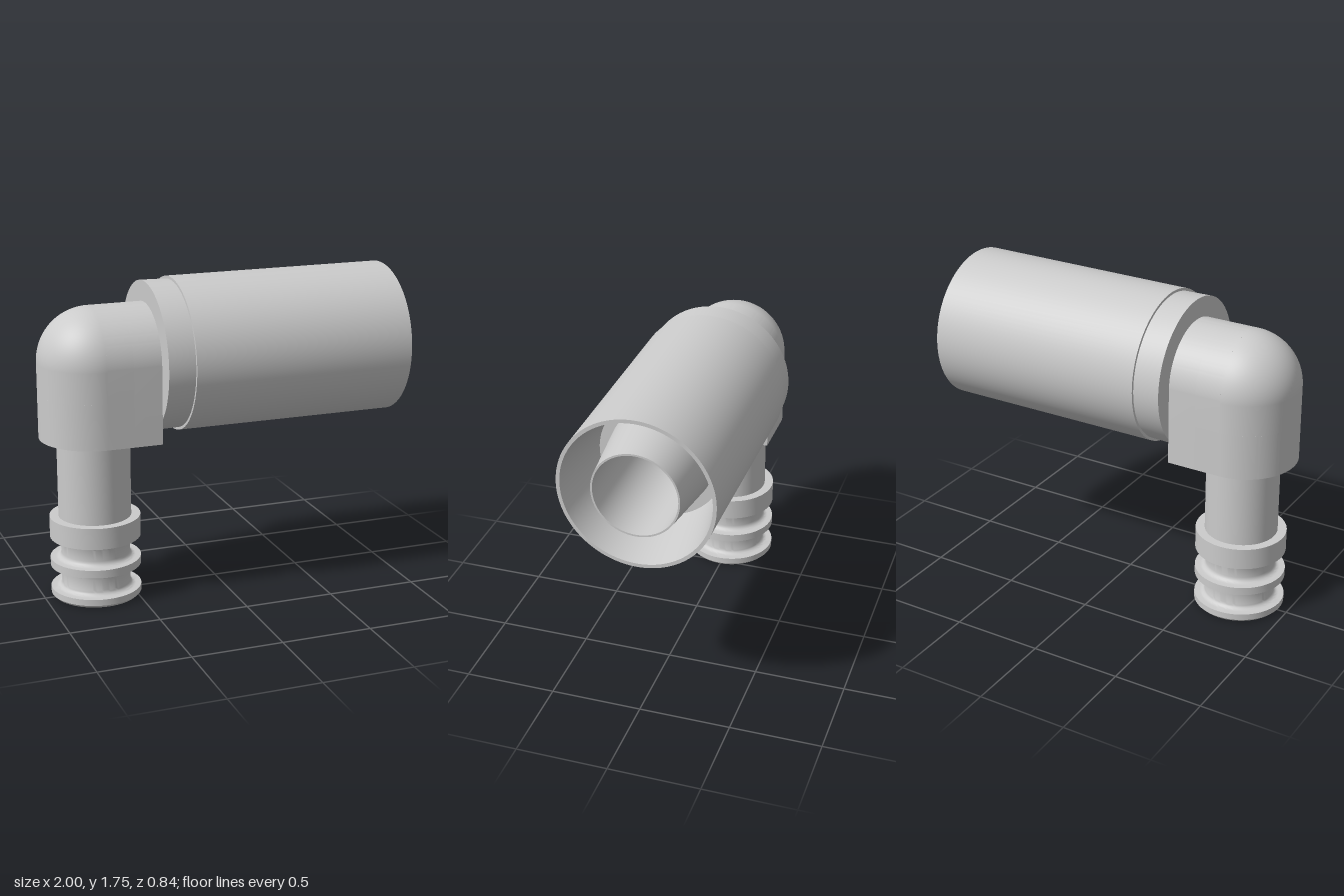
import * as THREE from 'three';
import { toCreasedNormals } from 'three/addons/utils/BufferGeometryUtils.js';

const CX = -0.705;      // stem axis (x)
const AY = 1.33;        // barrel axis (y)
const R = 0.295;        // elbow outer radius
const BORE = 0.225;     // barrel bore radius
const STEM_BORE = 0.145;
const BASE = 0.91;      // underside of elbow
const FLOOR = 1.16;     // floor of the elbow cavity
const MID = -0.56;      // end of the elbow cavity floor
const END = -0.405;     // elbow meets the collar

const solid = new THREE.MeshStandardMaterial({ color: 0xcccccc });
const shell = new THREE.MeshStandardMaterial({ color: 0xcccccc, side: THREE.DoubleSide });

function add(group, name, geometry, material = solid) {
  const mesh = new THREE.Mesh(geometry, material);
  mesh.name = name;
  group.add(mesh);
  return mesh;
}

function lathe(points) {
  const profile = points.map(([r, y]) => new THREE.Vector2(r, y));
  return toCreasedNormals(new THREE.LatheGeometry(profile, 96), 0.5);
}

function extrude(shape, depth) {
  const geometry = new THREE.ExtrudeGeometry(shape, { depth, bevelEnabled: false, curveSegments: 48 });
  return toCreasedNormals(geometry, 0.5);
}

// Neck groove between two flanges, with a fillet at each end
function groove(y0, y1, neck = 0.19, f = 0.03) {
  const low = [], high = [];
  for (let i = 0; i <= 5; i++) {
    const a = (i / 5) * Math.PI / 2;
    const r = neck + f - f * Math.sin(a), h = f - f * Math.cos(a);
    low.push([r, y0 + h]);
    high.unshift([r, y1 - h]);
  }
  return [[0.25, y0], ...low, ...high, [0.25, y1]];
}

// Vertical half cylinder capped by a quarter sphere, on the -x side
function roundedBack(group, name, radius, y0) {
  const wall = new THREE.CylinderGeometry(radius, radius, AY - y0, 48, 1, true, Math.PI, Math.PI);
  add(group, name + 'Wall', wall, shell).position.set(CX, (y0 + AY) / 2, 0);
  const dome = new THREE.SphereGeometry(radius, 48, 24, -Math.PI / 2, Math.PI, 0, Math.PI / 2);
  add(group, name + 'Dome', dome, shell).position.set(CX, AY, 0);
}

export function createModel() {
  const model = new THREE.Group();
  model.name = 'elbowConnector';

  // Hollow stem with grooved flanges
  add(model, 'stem', lathe([
    [STEM_BORE, 0], [0.235, 0], [0.25, 0.015],
    ...groove(0.05, 0.175), ...groove(0.22, 0.34),
    [0.25, 0.46], [0.2, 0.46], [0.2, BASE], [STEM_BORE, BASE], [STEM_BORE, 0],
  ])).position.x = CX;

  // Elbow base block with the stem bore through it
  const elbow = new THREE.Group();
  elbow.name = 'elbow';
  model.add(elbow);
  const foot = new THREE.Shape();
  foot.moveTo(MID, -R);
  foot.lineTo(MID, R);
  foot.lineTo(CX, R);
  foot.absarc(CX, 0, R, Math.PI / 2, Math.PI * 1.5, false);
  foot.closePath();
  foot.holes.push(new THREE.Path().absarc(CX, 0, STEM_BORE, 0, Math.PI * 2, true));
  const block = extrude(foot, FLOOR - BASE);
  block.rotateX(-Math.PI / 2);
  add(elbow, 'elbowBase', block).position.y = BASE;

  // Arch over the cavity
  const dip = Math.asin((AY - FLOOR) / BORE);
  const over = new THREE.Shape();
  over.moveTo(R, FLOOR);
  over.lineTo(R, AY);
  over.absarc(0, AY, R, 0, Math.PI, false);
  over.lineTo(-R, FLOOR);
  over.lineTo(-BORE * Math.cos(dip), FLOOR);
  over.absarc(0, AY, BORE, Math.PI + dip, -dip, true);
  over.closePath();
  const archOver = extrude(over, MID - CX);
  archOver.rotateY(Math.PI / 2);
  add(elbow, 'elbowArch', archOver).position.x = CX;

  // Full-height arch with a round bore, joining the collar
  const front = new THREE.Shape();
  front.moveTo(-R, BASE);
  front.lineTo(R, BASE);
  front.lineTo(R, AY);
  front.absarc(0, AY, R, 0, Math.PI, false);
  front.closePath();
  front.holes.push(new THREE.Path().absarc(0, AY, BORE, 0, Math.PI * 2, true));
  const archFront = extrude(front, END - MID);
  archFront.rotateY(Math.PI / 2);
  add(elbow, 'elbowNeck', archFront).position.x = MID;

  // Rounded back: outer skin and inner cavity
  roundedBack(elbow, 'elbowOuter', R, FLOOR);
  roundedBack(elbow, 'elbowInner', BORE, FLOOR);

  // Collar, sleeve with tapered socket, and central tapered nozzle
  const barrel = lathe([
    [BORE, END], [0.408, END], [0.405, -0.255], [0.42, -0.255],
    [0.42, 0.995], [0.4, 0.995], [0.335, 0.6], [0.28, 0.6],
    [0.235, 1], [BORE, 1], [BORE, END],
  ]);
  barrel.rotateZ(-Math.PI / 2);
  add(model, 'barrel', barrel).position.y = AY;

  return model;
}
